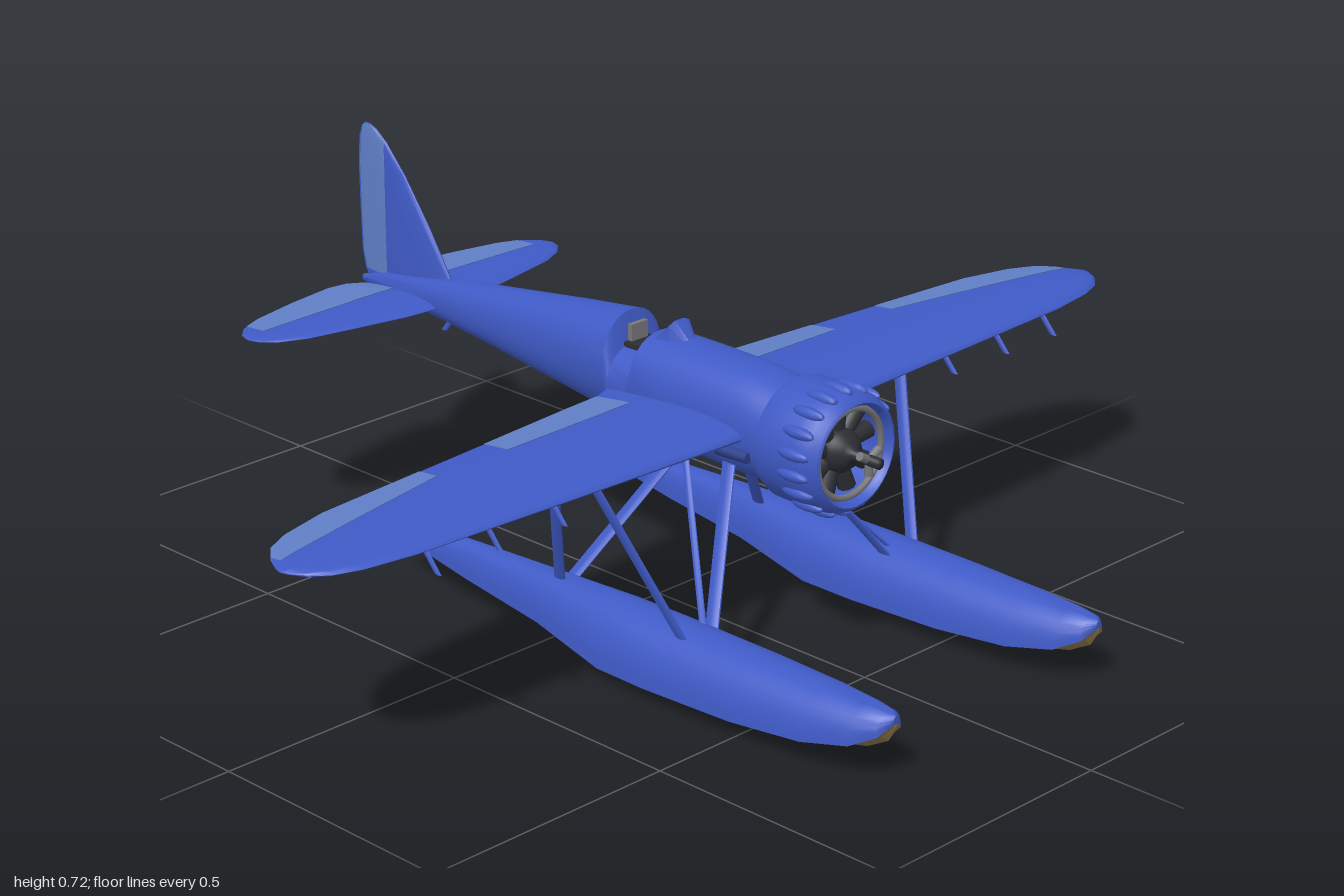
import * as THREE from 'three';
import { toCreasedNormals } from 'three/addons/utils/BufferGeometryUtils.js';

const mat = (color) => new THREE.MeshStandardMaterial({ color, side: THREE.DoubleSide });
const BLUE = mat(0x3f5ac6), LIGHT = mat(0x5f7fc6), TAN = mat(0x8d774a);
const DARK = mat(0x2b2d33), GREY = mat(0x77777a), NAVY = mat(0x2c3f8c);
const AXIS_Y = 0.405;

// Skin a list of closed rings, cap both ends and make the faces point outward
function loft(rings, crease = 0.7) {
  const n = rings[0].length, pos = rings.flat(), idx = [];
  for (let i = 0; i < rings.length - 1; i++)
    for (let j = 0; j < n; j++) {
      const a = i * n + j, b = i * n + (j + 1) % n;
      idx.push([a, b, a + n], [b, b + n, a + n]);
    }
  for (const [r, flip] of [[0, true], [rings.length - 1, false]]) {
    const c = pos.length;
    pos.push([0, 1, 2].map((k) => rings[r].reduce((s, p) => s + p[k], 0) / n));
    for (let j = 0; j < n; j++) {
      const a = r * n + j, b = r * n + (j + 1) % n;
      idx.push(flip ? [b, a, c] : [a, b, c]);
    }
  }
  const v = pos.map((p) => new THREE.Vector3(...p));
  const o = v[0], d = (i) => v[i].clone().sub(o);
  const volume = idx.reduce((s, [a, b, c]) => s + d(a).dot(d(b).cross(d(c))), 0);
  const g = new THREE.BufferGeometry();
  g.setAttribute('position', new THREE.Float32BufferAttribute(pos.flat(), 3));
  g.setIndex(idx.flatMap((t) => (volume < 0 ? [t[0], t[2], t[1]] : t)));
  return toCreasedNormals(g, crease);
}

// Linear lookup in rows sorted by their first column
function lookup(rows, x) {
  let i = 0;
  while (i < rows.length - 2 && x > rows[i + 1][0]) i++;
  const a = rows[i], b = rows[i + 1];
  const t = THREE.MathUtils.clamp((x - a[0]) / (b[0] - a[0]), 0, 1);
  return a.map((q, k) => q + (b[k] - q) * t);
}

// Aerofoil surface; rows are [span, leading z, trailing z, thickness].
// split(span) keeps only the part behind that z, used for control surfaces.
function foil(rows, place, from, to, split) {
  const spans = [from, ...rows.map((r) => r[0]).filter((x) => x > from && x < to), to];
  const N = 12, grow = split ? 0.0012 : 0;
  return loft(spans.map((x) => {
    const [, le, te, th] = lookup(rows, x);
    const front = split ? Math.max(te + 0.001, Math.min(le, split(x))) : le;
    const ring = [];
    for (let i = 0; i < 2 * N; i++) {
      const k = i <= N ? i / N : (2 * N - i) / N;
      const z = front + (te - front) * (split ? k : k * k);
      const u = (le - z) / (le - te);
      const h = th * 5 * (0.2969 * Math.sqrt(u) - 0.126 * u - 0.3516 * u * u + 0.2843 * u ** 3 - 0.1036 * u ** 4);
      ring.push(place(x, (h + grow) * (i <= N ? 1 : -0.75), z));
    }
    return ring;
  }), 0.9);
}

const WING = [
  [0, 0.285, -0.05, 0.048], [0.08, 0.285, -0.05, 0.046], [0.12, 0.283, -0.035, 0.042], [0.2, 0.28, -0.03, 0.038],
  [0.5, 0.267, -0.005, 0.03], [0.8, 0.253, 0.02, 0.021], [0.9, 0.238, 0.045, 0.018], [0.95, 0.22, 0.07, 0.016],
  [0.98, 0.195, 0.105, 0.012], [0.995, 0.17, 0.135, 0.006], [1, 0.155, 0.15, 0.002]];
const TAIL = [
  [0.01, -0.553, -0.72, 0.02], [0.03, -0.554, -0.755, 0.02], [0.06, -0.556, -0.775, 0.019], [0.1, -0.56, -0.78, 0.018],
  [0.2, -0.58, -0.766, 0.015], [0.3, -0.602, -0.745, 0.012], [0.35, -0.625, -0.725, 0.009],
  [0.375, -0.65, -0.7, 0.005], [0.382, -0.67, -0.68, 0.002]];
const FIN = [
  [0.405, -0.53, -0.77, 0.026], [0.43, -0.535, -0.785, 0.026], [0.465, -0.545, -0.793, 0.025], [0.55, -0.6, -0.796, 0.02],
  [0.64, -0.668, -0.797, 0.014], [0.69, -0.715, -0.793, 0.009], [0.712, -0.745, -0.785, 0.005], [0.72, -0.765, -0.775, 0.002]];

// Float stations: [z, half width, deck y, chine y, keel y]; the step lies between bow and stern
const BOW = [
  [0.8, 0.006, 0.12, 0.105, 0.098], [0.785, 0.03, 0.125, 0.085, 0.07], [0.74, 0.05, 0.128, 0.062, 0.045],
  [0.65, 0.068, 0.13, 0.045, 0.022], [0.5, 0.078, 0.132, 0.033, 0.01], [0.3, 0.08, 0.133, 0.026, 0.004],
  [0.18, 0.073, 0.133, 0.022, 0]];
const STERN = [
  [0.18, 0.073, 0.133, 0.03, 0.014], [0, 0.045, 0.128, 0.042, 0.03],
  [-0.2, 0.028, 0.12, 0.056, 0.047], [-0.39, 0.013, 0.11, 0.076, 0.068]];

// Fuselage stations: [z, top y, bottom y, half width]
const BODY = [
  [0.335, 0.495, 0.318, 0.082], [0.29, 0.505, 0.312, 0.086], [0.24, 0.51, 0.311, 0.088], [0.08, 0.511, 0.317, 0.086],
  [0.005, 0.51, 0.323, 0.082], [-0.005, 0.475, 0.324, 0.081], [-0.055, 0.475, 0.329, 0.077], [-0.068, 0.53, 0.33, 0.075],
  [-0.2, 0.514, 0.345, 0.063], [-0.4, 0.486, 0.368, 0.046], [-0.55, 0.465, 0.383, 0.033],
  [-0.72, 0.437, 0.394, 0.018], [-0.79, 0.415, 0.402, 0.006]];

export function createModel() {
  const model = new THREE.Group();
  const add = (name, geometry, material = BLUE, parent = model) => {
    const m = new THREE.Mesh(geometry, material);
    m.name = name;
    parent.add(m);
    return m;
  };
  const group = (name) => {
    const g = new THREE.Group();
    g.name = name;
    model.add(g);
    return g;
  };
  // Flattened strut between two points, its chord along z
  const strut = (name, a, b, thick, chord, parent) => {
    const A = new THREE.Vector3(...a), B = new THREE.Vector3(...b);
    const ring = (p) => Array.from({ length: 10 }, (_, i) => {
      const t = (i / 10) * Math.PI * 2;
      return [p.x + Math.cos(t) * thick, p.y, p.z + Math.sin(t) * chord];
    });
    return add(name, loft([ring(A), ring(B)]), BLUE, parent);
  };

  // Fuselage with a cockpit notch
  add('fuselage', loft(BODY.map(([z, top, bot, w]) => Array.from({ length: 32 }, (_, i) => {
    const t = (i / 32) * Math.PI * 2, c = Math.cos(t), s = Math.sin(t);
    const sq = (q) => Math.sign(q) * Math.abs(q) ** 0.9;
    return [w * sq(c), (top + bot) / 2 + ((top - bot) / 2) * sq(s), z];
  }))));
  const cockpit = group('cockpit');
  add('cockpitFloor', new THREE.BoxGeometry(0.062, 0.012, 0.056), DARK, cockpit).position.set(0, 0.473, -0.03);
  add('seatBack', new THREE.BoxGeometry(0.04, 0.04, 0.01), GREY, cockpit).position.set(0, 0.49, -0.052);
  add('windscreen', loft([[0.085, 0.012, 0.505], [0.05, 0.028, 0.541], [0.02, 0.033, 0.512]].map(([z, w, y]) =>
    [[-w, 0.495, z], [w, 0.495, z], [w * 0.9, y - 0.006, z], [w * 0.4, y, z], [-w * 0.4, y, z], [-w * 0.9, y - 0.006, z]]), 0.3),
  BLUE, cockpit);

  // Cowling, its row of blisters, radial engine and propeller hub
  const nose = group('engineAssembly');
  nose.position.y = AXIS_Y;
  const lathe = (pts) => new THREE.LatheGeometry(pts.map(([r, z]) => new THREE.Vector2(r, z)), 40).rotateX(Math.PI / 2);
  add('cowling', toCreasedNormals(lathe([[0.084, 0.34], [0.106, 0.332], [0.111, 0.345], [0.112, 0.42], [0.108, 0.452],
    [0.1, 0.469], [0.093, 0.473], [0.087, 0.466], [0.085, 0.44], [0.084, 0.34]]), 0.8), BLUE, nose);
  for (let i = 0; i < 18; i++) {
    const a = ((i + 0.5) / 18) * Math.PI * 2;
    const b = add('cowlBlister', new THREE.SphereGeometry(1, 12, 8), BLUE, nose);
    b.scale.set(0.011, 0.011, 0.036);
    b.position.set(Math.cos(a) * 0.109, Math.sin(a) * 0.109, 0.424);
    b.rotation.z = a;
  }
  add('firewall', lathe([[0, 0.325], [0.09, 0.325], [0.09, 0.345], [0, 0.345]]), DARK, nose);
  add('engineBack', lathe([[0.085, 0.4], [0, 0.4]]), DARK, nose);
  add('engineRing', new THREE.TorusGeometry(0.08, 0.006, 8, 40), GREY, nose).position.z = 0.455;
  for (let i = 0; i < 9; i++) {
    const a = (i / 9) * Math.PI * 2;
    const c = add('engineCylinder', new THREE.CylinderGeometry(0.017, 0.014, 0.05, 10), DARK, nose);
    c.position.set(-Math.sin(a) * 0.055, Math.cos(a) * 0.055, 0.425);
    c.rotation.z = a;
  }
  add('crankcase', lathe([[0.04, 0.4], [0.038, 0.445], [0.025, 0.462], [0.01, 0.468], [0.01, 0.525], [0, 0.528]]), DARK, nose);
  for (let i = 0; i < 3; i++) {
    const a = ((i + 0.5) / 3) * Math.PI * 2 + Math.PI / 1.5;
    const c = add('bladeSocket', new THREE.CylinderGeometry(0.008, 0.008, 0.028, 10), GREY, nose);
    c.position.set(-Math.sin(a) * 0.014, Math.cos(a) * 0.014, 0.5);
    c.rotation.z = a;
  }

  // Fin and rudder
  const upright = (h, t, z) => [t, h, z];
  add('fin', foil(FIN, upright, 0.405, 0.72));
  add('rudder', foil(FIN, upright, 0.43, 0.718, () => -0.712), LIGHT);
  strut('tailHook', [0, 0.39, -0.54], [0, 0.36, -0.565], 0.004, 0.007, model);

  for (const s of [1, -1]) {
    const side = s > 0 ? 'left' : 'right';
    // Wing with aileron and flap
    const wing = group(side + 'Wing');
    const flat = (y) => (x, t, z) => [s * x, y + t, z];
    add('wingPanel', foil(WING, flat(AXIS_Y), 0, 1), BLUE, wing);
    add('aileron', foil(WING, flat(AXIS_Y), 0.57, 0.975, (x) => 0.045 + (x - 0.57) * 0.2), LIGHT, wing);
    add('flap', foil(WING, flat(AXIS_Y), 0.12, 0.41, () => 0.048), LIGHT, wing);
    for (const x of [0.49, 0.635, 0.77])
      strut('wingBracket', [s * x, 0.402, 0.235], [s * x, 0.365, 0.268], 0.003, 0.008, wing);

    // Tailplane with elevator
    const tail = group(side + 'Tailplane');
    add('tailplanePanel', foil(TAIL, flat(0.412), 0.01, 0.382), BLUE, tail);
    add('elevator', foil(TAIL, flat(0.412), 0.025, 0.34, () => -0.68), LIGHT, tail);

    // Exhaust stub at the wing root
    const ex = add('exhaust', new THREE.CylinderGeometry(0.01, 0.013, 0.07, 12), NAVY);
    ex.rotation.x = Math.PI / 2;
    ex.position.set(s * 0.085, 0.375, 0.265);

    // Float: rounded deck over a hollow-V planing bottom with a step
    const pontoon = group(side + 'Float');
    pontoon.position.x = s * 0.26;
    add('floatDeck', loft([...BOW, ...STERN.slice(1)].map(([z, w, top, ch]) => Array.from({ length: 17 }, (_, i) => {
      const a = (i / 16) * Math.PI;
      return [w * Math.cos(a), ch + (top - ch) * Math.abs(Math.sin(a)) ** 0.9, z];
    }))), BLUE, pontoon);
    const bottom = (rows) => loft(rows.map(([z, w, , ch, k]) => [
      [-w, ch, z], [-w * 0.5, ch + (k - ch) * 0.25, z], [0, k, z], [w * 0.5, ch + (k - ch) * 0.25, z], [w, ch, z]]), 0.4);
    add('forwardBottom', bottom(BOW), TAN, pontoon);
    add('rearBottom', bottom(STERN), TAN, pontoon);

    // Float bracing: inner pair to the fuselage, outer pair to the wing, one diagonal
    const brace = group(side + 'FloatStruts');
    const p = (x, y, z) => [s * x, y, z];
    strut('frontInnerStrut', p(0.225, 0.11, 0.35), p(0.07, 0.345, 0.24), 0.005, 0.015, brace);
    strut('rearInnerStrut', p(0.24, 0.11, 0.02), p(0.07, 0.345, 0.125), 0.005, 0.014, brace);
    strut('frontOuterStrut', p(0.29, 0.11, 0.35), p(0.387, 0.4, 0.225), 0.005, 0.014, brace);
    strut('rearOuterStrut', p(0.265, 0.11, 0.02), p(0.385, 0.4, 0.13), 0.005, 0.013, brace);
    strut('diagonalStrut', p(0.24, 0.12, 0.345), p(0.07, 0.36, 0.13), 0.004, 0.008, brace);
  }
  return model;
}
